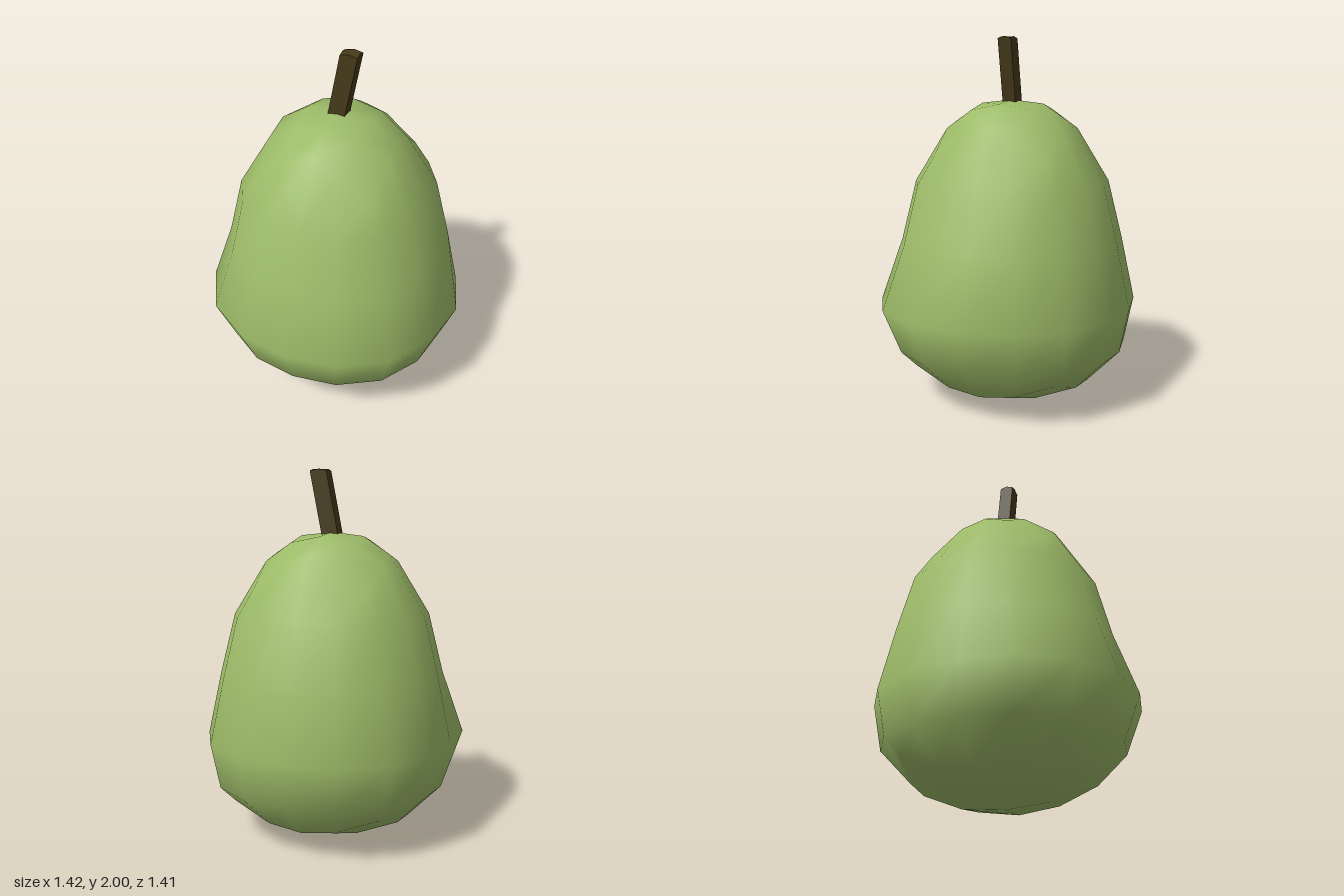
import * as THREE from 'three';
import { mergeVertices } from 'three/addons/utils/BufferGeometryUtils.js';

const AXIS = -0.026; // the fruit's axis sits slightly off the origin in x and z

// Profile: polar angle in degrees from the top, radius, height
const PROFILE = [
  [0, 0, 1.665], [22.5, 0.18, 1.645], [45, 0.33, 1.55], [63, 0.528, 1.22], [81, 0.61, 0.89],
  [99, 0.684, 0.545], [117, 0.636, 0.3], [135, 0.453, 0.11], [157.5, 0.236, 0.025], [180, 0, 0.003],
];

function sampleProfile(angle) {
  let i = 1;
  while (i < PROFILE.length - 1 && angle > PROFILE[i][0]) i++;
  const [a0, r0, y0] = PROFILE[i - 1];
  const [a1, r1, y1] = PROFILE[i];
  const t = (angle - a0) / (a1 - a0);
  return [r0 + (r1 - r0) * t, y0 + (y1 - y0) * t];
}

// Subdivided cube rounded into a pear, so the top and bottom are square grids
function pearGeometry() {
  let geo = new THREE.BoxGeometry(2, 2, 2, 4, 5, 4);
  geo.deleteAttribute('uv');
  geo.deleteAttribute('normal');
  geo = mergeVertices(geo);
  const pos = geo.attributes.position;
  for (let i = 0; i < pos.count; i++) {
    const x = Math.tan(pos.getX(i) * Math.PI / 4);
    const z = Math.tan(pos.getZ(i) * Math.PI / 4);
    const v = pos.getY(i);
    const around = Math.atan2(z, x);
    const cap = THREE.MathUtils.radToDeg(Math.atan(Math.hypot(x, z)));
    const polar = v > 0.99 ? cap : v < -0.99 ? 180 - cap : 90 - 45 * v;
    let [r, y] = sampleProfile(polar);
    // Slightly square cross-section
    r *= 1 + 0.035 * Math.sin(2 * around) ** 2;
    // The belly bulges towards the front and the left
    const bulges = z > 0.01 || (Math.abs(z) < 0.01 && x > 0);
    if (Math.abs(polar - 99) < 1 && bulges) r *= 1.068;
    pos.setXYZ(i, AXIS + r * Math.cos(around), y, AXIS + r * Math.sin(around));
  }
  geo.computeVertexNormals();
  return geo;
}

// Square stalk leaning to the left, with a slightly raised end
function stalkGeometry() {
  const bottom = 1.63, top = 1.99;
  const geo = new THREE.BoxGeometry(0.095, top - bottom, 0.075, 2, 1, 2);
  geo.translate(0, (top + bottom) / 2, AXIS);
  const pos = geo.attributes.position;
  for (let i = 0; i < pos.count; i++) {
    const x = pos.getX(i), y = pos.getY(i);
    const isEnd = y > 1.9;
    const middle = Math.abs(x) < 0.01 || Math.abs(pos.getZ(i) - AXIS) < 0.01;
    pos.setX(i, x + 0.042 - 0.2 * (top - y));
    if (isEnd && middle) pos.setY(i, 2);
  }
  geo.computeVertexNormals();
  return geo;
}

export function createModel() {
  const group = new THREE.Group();
  const add = (name, geo, color) => {
    const mesh = new THREE.Mesh(geo, new THREE.MeshStandardMaterial({ color }));
    mesh.name = name;
    group.add(mesh);
  };
  add('pearBody', pearGeometry(), 0x9dbb68);
  add('stalk', stalkGeometry(), 0x463a1a);
  return group;
}
